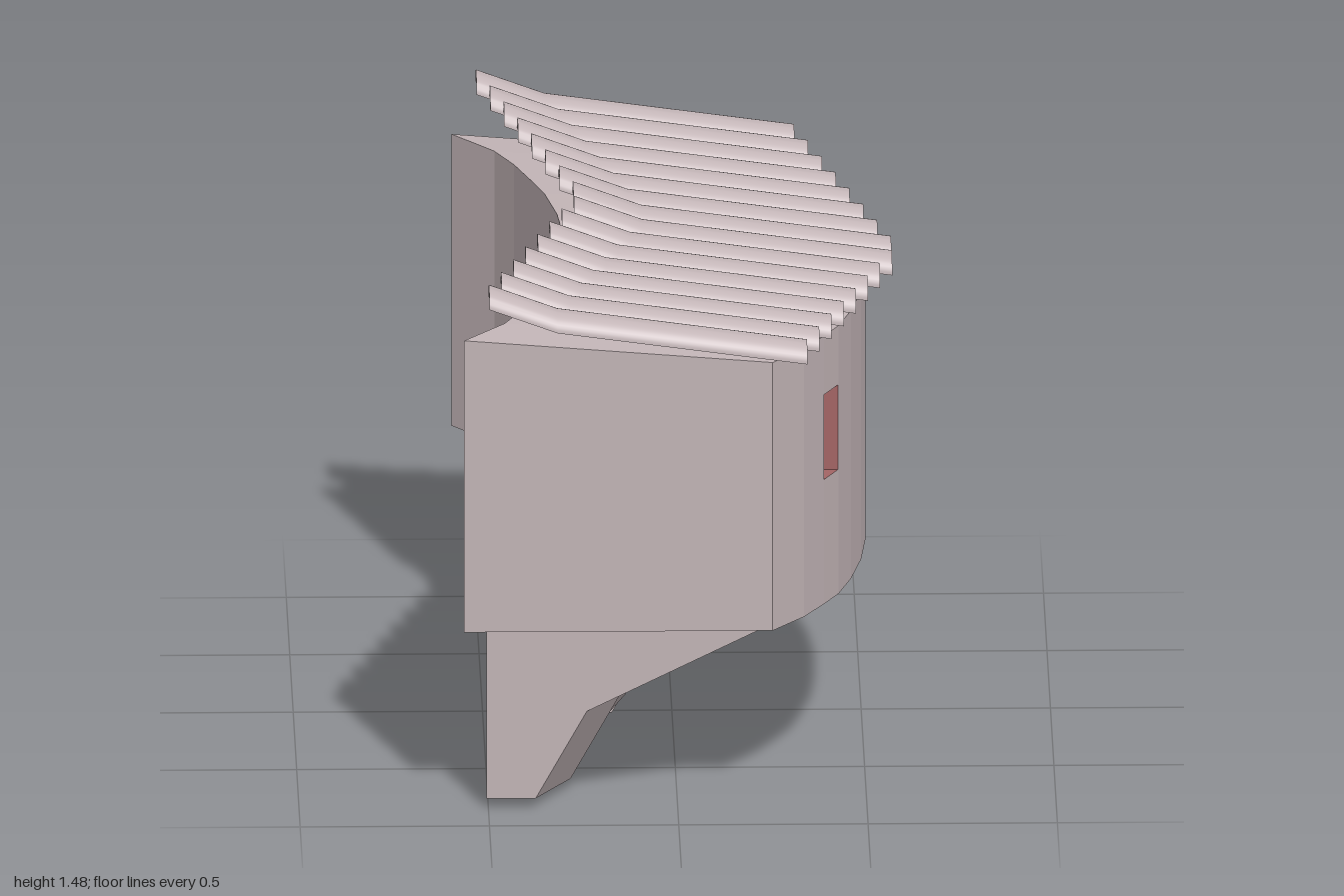
import * as THREE from 'three';
import { toCreasedNormals } from 'three/addons/utils/BufferGeometryUtils.js';

const stone = new THREE.MeshStandardMaterial({ color: 0xc2b4b6 });
stone.name = 'mauve stone';
const red = new THREE.MeshStandardMaterial({ color: 0xa36464 });
red.name = 'window reveal red';
const dark = new THREE.MeshStandardMaterial({ color: 0x393140 });
dark.name = 'dark opening';

// Plan curves of the bowed wall: [|z|, x]
const OUTER = [[0, 0.51], [0.1, 0.51], [0.28, 0.495], [0.45, 0.465], [0.58, 0.43], [0.67, 0.39], [0.78, 0.335], [0.9, 0.25]];
const INNER = [[0, -0.285], [0.2, -0.3], [0.38, -0.33], [0.5, -0.365], [0.63, -0.405], [0.75, -0.455], [0.9, -0.565]];
const Y0 = 0.505, Y_FRONT = 1.248, Y_BACK = 1.313;
// Windows: [z low, z high]
const WINDOWS = [[-0.65, -0.565], [-0.05, 0.095], [0.585, 0.67]];
const SILL = 0.85, HEAD = 1.085, PANEL_X = 0.35;

function lookup(table, z) {
  const a = Math.abs(z);
  let i = 1;
  while (i < table.length - 1 && table[i][0] < a) i++;
  const [z0, x0] = table[i - 1], [z1, x1] = table[i];
  return x0 + (x1 - x0) * (a - z0) / (z1 - z0);
}
const outerX = z => lookup(OUTER, z);
const innerX = z => lookup(INNER, z);

// Collects flat quads, corners counter-clockwise from outside
function quadSet() {
  const pos = [];
  return {
    add(a, b, c, d) { for (const p of [a, b, c, a, c, d]) pos.push(...p); },
    mesh(name, material) {
      const g = new THREE.BufferGeometry();
      g.setAttribute('position', new THREE.Float32BufferAttribute(pos, 3));
      g.computeVertexNormals();
      const m = new THREE.Mesh(g, material);
      m.name = name;
      return m;
    }
  };
}

function buildBody() {
  const group = new THREE.Group();
  group.name = 'curvedBody';
  const wall = quadSet(), reveal = quadSet(), panel = quadSet();

  const cuts = new Set(WINDOWS.flat());
  for (const [z] of [...OUTER, ...INNER]) if (z > 0) { cuts.add(z); cuts.add(-z); }
  const zs = [...cuts].sort((a, b) => a - b);

  for (let i = 0; i < zs.length - 1; i++) {
    const a = zs[i], b = zs[i + 1], mid = (a + b) / 2;
    const fa = outerX(a), fb = outerX(b), ba = innerX(a), bb = innerX(b);
    const front = (set, xa, xb, y0, y1) => set.add([xb, y0, b], [xa, y0, a], [xa, y1, a], [xb, y1, b]);
    if (WINDOWS.some(([lo, hi]) => mid > lo && mid < hi)) {
      front(wall, fa, fb, Y0, SILL);
      front(wall, fa, fb, HEAD, Y_FRONT);
      front(panel, PANEL_X, PANEL_X, SILL, HEAD);
      reveal.add([PANEL_X, SILL, b], [fb, SILL, b], [fa, SILL, a], [PANEL_X, SILL, a]);
      reveal.add([PANEL_X, HEAD, a], [fa, HEAD, a], [fb, HEAD, b], [PANEL_X, HEAD, b]);
    } else front(wall, fa, fb, Y0, Y_FRONT);
    wall.add([ba, Y0, a], [bb, Y0, b], [bb, Y_BACK, b], [ba, Y_BACK, a]);
    wall.add([bb, Y_BACK, b], [fb, Y_FRONT, b], [fa, Y_FRONT, a], [ba, Y_BACK, a]);
    wall.add([ba, Y0, a], [fa, Y0, a], [fb, Y0, b], [bb, Y0, b]);
  }

  // Straight end walls
  const f = outerX(0.9), k = innerX(0.9);
  wall.add([k, Y0, 0.9], [f, Y0, 0.9], [f, Y_FRONT, 0.9], [k, Y_BACK, 0.9]);
  wall.add([f, Y0, -0.9], [k, Y0, -0.9], [k, Y_BACK, -0.9], [f, Y_FRONT, -0.9]);

  // Window jambs
  for (const [lo, hi] of WINDOWS) {
    const xl = outerX(lo), xh = outerX(hi);
    reveal.add([PANEL_X, SILL, lo], [xl, SILL, lo], [xl, HEAD, lo], [PANEL_X, HEAD, lo]);
    reveal.add([xh, SILL, hi], [PANEL_X, SILL, hi], [PANEL_X, HEAD, hi], [xh, HEAD, hi]);
  }
  group.add(wall.mesh('wall', stone), reveal.mesh('windowReveals', red), panel.mesh('windowPanels', dark));
  return group;
}

// Bracket cut in vertical planes and sheared in x to follow the wall's bow
function buildBracket(profile, zLow, zHigh, shear) {
  const shape = new THREE.Shape(profile.map(p => new THREE.Vector2(...p)));
  const g = new THREE.ExtrudeGeometry(shape, { depth: zHigh - zLow, bevelEnabled: false });
  g.translate(0, 0, zLow);
  const p = g.attributes.position, zOut = Math.max(Math.abs(zLow), Math.abs(zHigh));
  for (let i = 0; i < p.count; i++) p.setX(i, p.getX(i) + shear * (zOut - Math.abs(p.getZ(i))));
  g.computeVertexNormals();
  const m = new THREE.Mesh(g, stone);
  m.name = 'bracket';
  return m;
}

function buildBrackets() {
  const group = new THREE.Group();
  group.name = 'brackets';
  const end = back => [[back, 0.025], [-0.375, 0.025], [-0.24, 0.265], [0.25, Y0], [back, Y0]];
  const second = [[-0.375, 0], [-0.31, 0], [-0.11, 0.235], [0.19, 0.4], [0.4, Y0], [-0.375, Y0]];
  const middle = [[-0.28, 0.025], [-0.16, 0.025], [-0.04, 0.24], [0.2, 0.38], [0.46, Y0], [-0.28, Y0]];
  group.add(
    buildBracket(end(-0.505), 0.67, 0.84, 0.56),
    buildBracket(end(-0.53), -0.84, -0.69, 0.56),
    buildBracket(second, 0.325, 0.47, 0.38),
    buildBracket(second, -0.46, -0.3, 0.38),
    buildBracket(middle, -0.05, 0.095, 0)
  );
  return group;
}

// One arched tile, kicked up towards the back
function tileGeometry() {
  const arch = new THREE.Shape();
  arch.absellipse(0, 0, 0.0625, 0.046, 0, Math.PI, false);
  arch.absellipse(0, 0, 0.052, 0.031, Math.PI, 0, true);
  const g = new THREE.ExtrudeGeometry(arch, { depth: 2, steps: 2, curveSegments: 10, bevelEnabled: false });
  g.rotateY(Math.PI / 2);
  const path = [[0, 1.43], [0.18, 1.364], [0.84, 1.274]];
  const p = g.attributes.position;
  for (let i = 0; i < p.count; i++) {
    const [x, y] = path[Math.round(p.getX(i))];
    p.setXYZ(i, x, p.getY(i) + y, p.getZ(i));
  }
  return toCreasedNormals(g, 0.7);
}

function buildRoof() {
  const group = new THREE.Group();
  group.name = 'tiledRoof';
  const geometry = tileGeometry();
  for (let i = 0; i < 16; i++) {
    const fromEnd = 7.5 - Math.abs(i - 7.5);
    const tile = new THREE.Mesh(geometry, stone);
    tile.name = 'roofTile';
    tile.position.set(-0.5 + 0.0343 * fromEnd, -0.0047 * fromEnd, (i - 7.5) * 0.125);
    group.add(tile);
  }
  return group;
}

export function createModel() {
  const model = new THREE.Group();
  model.name = 'overhangingGallery';
  model.add(buildBody(), buildBrackets(), buildRoof());
  return model;
}
